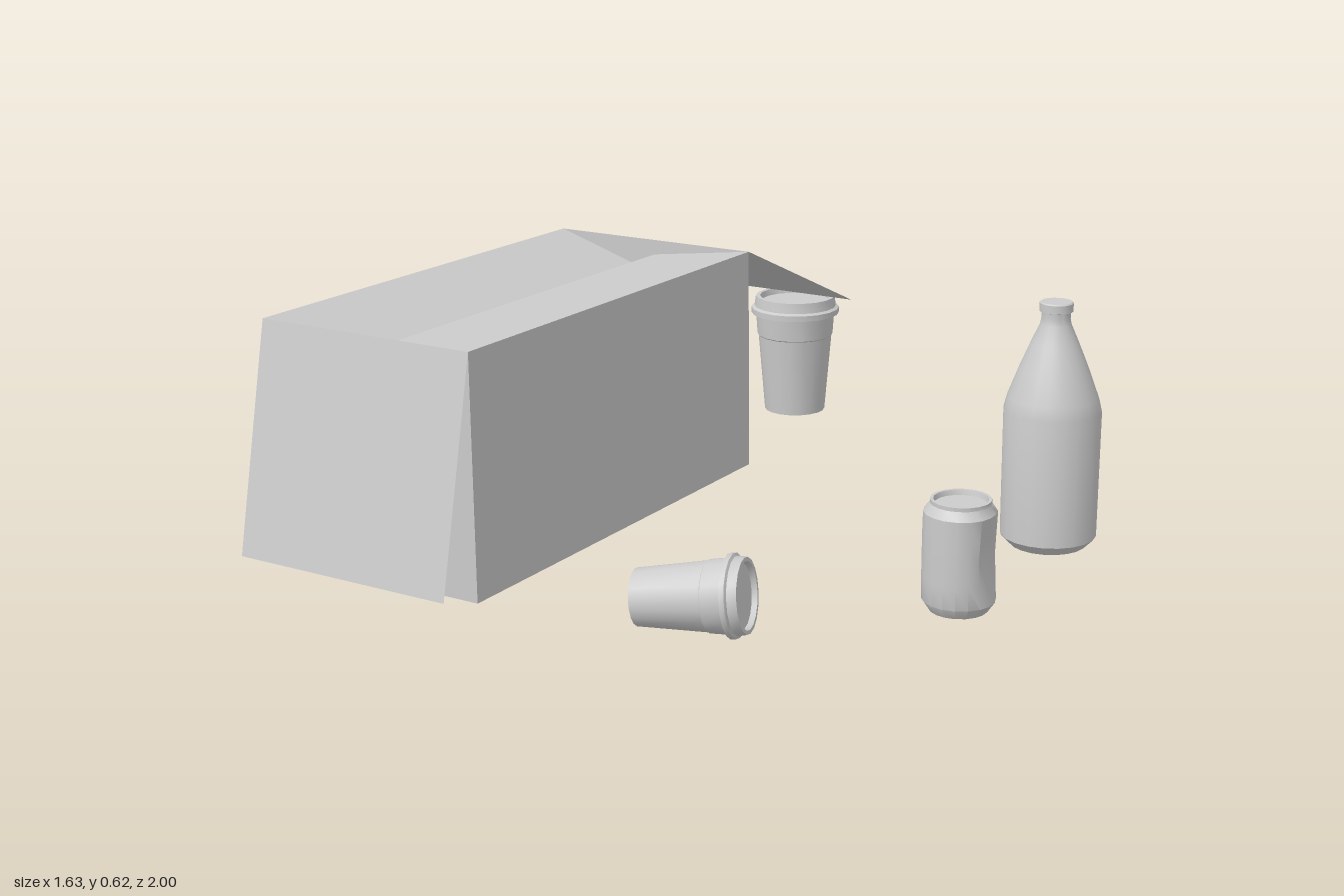
import * as THREE from 'three';
import { toCreasedNormals } from 'three/addons/utils/BufferGeometryUtils.js';

const material = new THREE.MeshStandardMaterial({ color: 0xcccccc });
const cardboard = new THREE.MeshStandardMaterial({ color: 0xcccccc, side: THREE.DoubleSide });

// Turned solid from [radius, height] pairs, listed bottom to top
function turned(name, profile, sides, shape) {
  const points = profile.map(([r, y]) => new THREE.Vector2(r, y));
  const geometry = new THREE.LatheGeometry(points, sides);
  if (shape) shape(geometry.attributes.position);
  const mesh = new THREE.Mesh(toCreasedNormals(geometry, 0.6), material);
  mesh.name = name;
  return mesh;
}

// Thin sheet through four corners in loop order
function sheet(name, corners) {
  const geometry = new THREE.BufferGeometry();
  geometry.setAttribute('position', new THREE.Float32BufferAttribute(corners.flat(), 3));
  geometry.setIndex([0, 1, 2, 0, 2, 3]);
  geometry.computeVertexNormals();
  const mesh = new THREE.Mesh(geometry, cardboard);
  mesh.name = name;
  return mesh;
}

function createBox() {
  const box = new THREE.Group();
  box.name = 'cardboardBox';
  const [l, r, b, t, back, front] = [-0.82, -0.22, 0.03, 0.62, -0.32, 0.88];

  box.add(
    sheet('boxBottom', [[l, b, back], [r, b, back], [r, b, front], [l, b, front]]),
    sheet('boxFront', [[l, b, front], [r, b, front], [r, t, front], [l, t, front]]),
    sheet('boxBack', [[r, b, back], [l, b, back], [l, t, back], [r, t, back]]),
    sheet('boxLeftSide', [[r, b, front], [r, b, back], [r, t, back], [r, t, front]]),
    sheet('boxRightSide', [[l, b, back], [l, b, front], [l, t, front], [l, t, back]]),
    // Long flaps sag inward by different amounts
    sheet('leftFlap', [[r, t, front], [r, t, back], [-0.518, 0.58, back], [-0.518, 0.58, front]]),
    sheet('rightFlap', [[l, t, back], [l, t, front], [-0.53, 0.53, front], [-0.53, 0.53, back]]),
    // Short flaps hang open outward
    sheet('frontFlap', [[l, 0.07, 1], [r, 0.07, 1], [r, t, front], [l, t, front]]),
    sheet('backFlap', [[l, t, back], [r, t, back], [r, 0.37, -0.9], [l, 0.37, -0.9]])
  );
  return box;
}

function createCup(name) {
  const cup = new THREE.Group();
  cup.name = name;
  cup.add(
    turned('cupBody', [[0, 0], [0.088, 0], [0.107, 0.225], [0.11, 0.228], [0.115, 0.3]], 18),
    turned('cupLid', [
      [0.115, 0.292], [0.128, 0.292], [0.128, 0.308], [0.119, 0.313],
      [0.115, 0.342], [0.103, 0.342], [0.099, 0.325], [0, 0.325],
    ], 18)
  );
  return cup;
}

// Pinch in the can wall facing +x, deepest at mid height
function dentCan(position) {
  for (let i = 0; i < position.count; i++) {
    const [x, y, z] = [position.getX(i), position.getY(i), position.getZ(i)];
    const across = Math.max(0, 1 - Math.abs(z) / 0.055);
    const along = Math.max(0, 1 - Math.abs(y - 0.14) / 0.11);
    if (x > 0) position.setX(i, x - 0.035 * across * along);
  }
}

export function createModel() {
  const model = new THREE.Group();
  model.name = 'discardedPackaging';
  model.add(createBox());

  // Glass bottle
  const bottle = turned('bottle', [
    [0, 0], [0.095, 0], [0.119, 0.025], [0.12, 0.345], [0.112, 0.378], [0.085, 0.45],
    [0.058, 0.515], [0.038, 0.56], [0.035, 0.575], [0.036, 0.592],
  ], 20);
  const cap = turned('bottleCap', [[0.034, 0.59], [0.041, 0.592], [0.041, 0.612], [0.038, 0.615], [0, 0.615]], 20);
  for (const part of [bottle, cap]) {
    part.position.set(0.695, 0, -0.235);
    model.add(part);
  }

  // Dented drinks can
  const can = turned('can', [
    [0, 0.02], [0.06, 0.02], [0.068, 0], [0.085, 0.025], [0.086, 0.08], [0.086, 0.13],
    [0.086, 0.18], [0.085, 0.235], [0.07, 0.255], [0.07, 0.264], [0.063, 0.264], [0.06, 0.252], [0, 0.252],
  ], 18, dentCan);
  can.position.set(0.708, 0.01, 0.305);
  model.add(can);

  // Upright cup under the back flap
  const standingCup = createCup('standingCup');
  standingCup.position.set(-0.39, 0.028, -0.87);
  model.add(standingCup);

  // Smaller cup lying on its side
  const fallenCup = createCup('fallenCup');
  const axis = new THREE.Vector3(0.25, 0.029, -0.068).normalize();
  fallenCup.quaternion.setFromUnitVectors(new THREE.Vector3(0, 1, 0), axis);
  fallenCup.scale.setScalar(0.75);
  fallenCup.position.set(0.123, 0.068, 0.74);
  model.add(fallenCup);

  return model;
}
